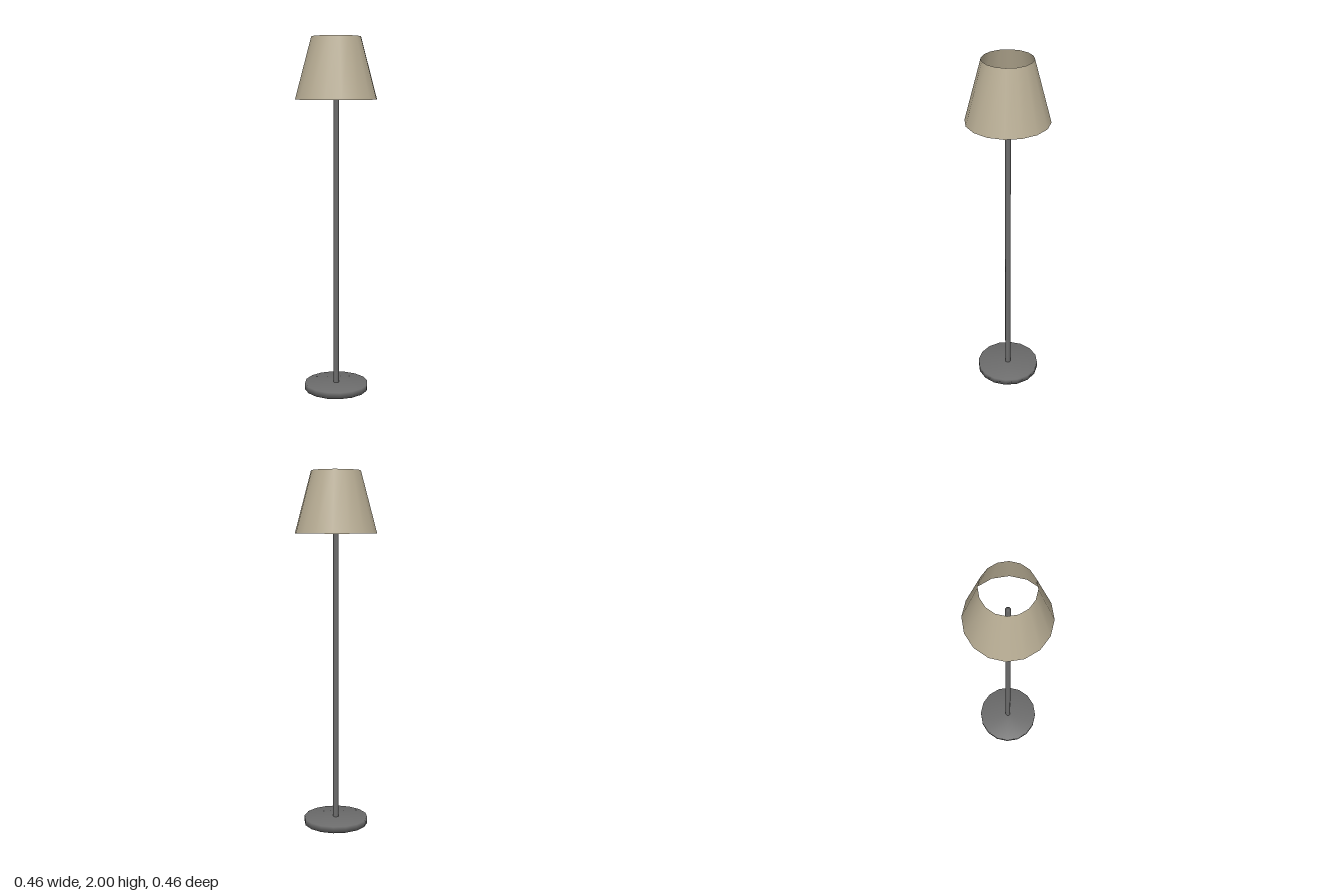
import * as THREE from 'three';
import { mergeVertices } from 'three/addons/utils/BufferGeometryUtils.js';

const shadeFabric = new THREE.MeshStandardMaterial({ color: 0xb9ae95, side: THREE.DoubleSide });
shadeFabric.name = 'shadeFabric';
const darkMetal = new THREE.MeshStandardMaterial({ color: 0x6c6c6c });
darkMetal.name = 'darkMetal';

// Closed cylinder standing on y = bottom, with normals blended over its rims
function softCylinder(name, radius, bottom, top, sides) {
  let geometry = new THREE.CylinderGeometry(radius, radius, top - bottom, sides);
  geometry.deleteAttribute('normal');
  geometry.deleteAttribute('uv');
  geometry = mergeVertices(geometry);
  geometry.computeVertexNormals();
  const mesh = new THREE.Mesh(geometry, darkMetal);
  mesh.name = name;
  mesh.position.y = (bottom + top) / 2;
  return mesh;
}

export function createModel() {
  const lamp = new THREE.Group();
  lamp.name = 'floorLamp';

  // Round foot and slim pole ending inside the shade
  lamp.add(softCylinder('base', 0.182, 0, 0.036, 16));
  lamp.add(softCylinder('pole', 0.016, 0.03, 1.76, 8));

  // Tapered shade, open at both ends
  const shade = new THREE.Mesh(
    new THREE.CylinderGeometry(0.137, 0.228, 0.34, 16, 1, true),
    shadeFabric
  );
  shade.name = 'lampShade';
  shade.position.y = 1.83;
  lamp.add(shade);

  return lamp;
}
